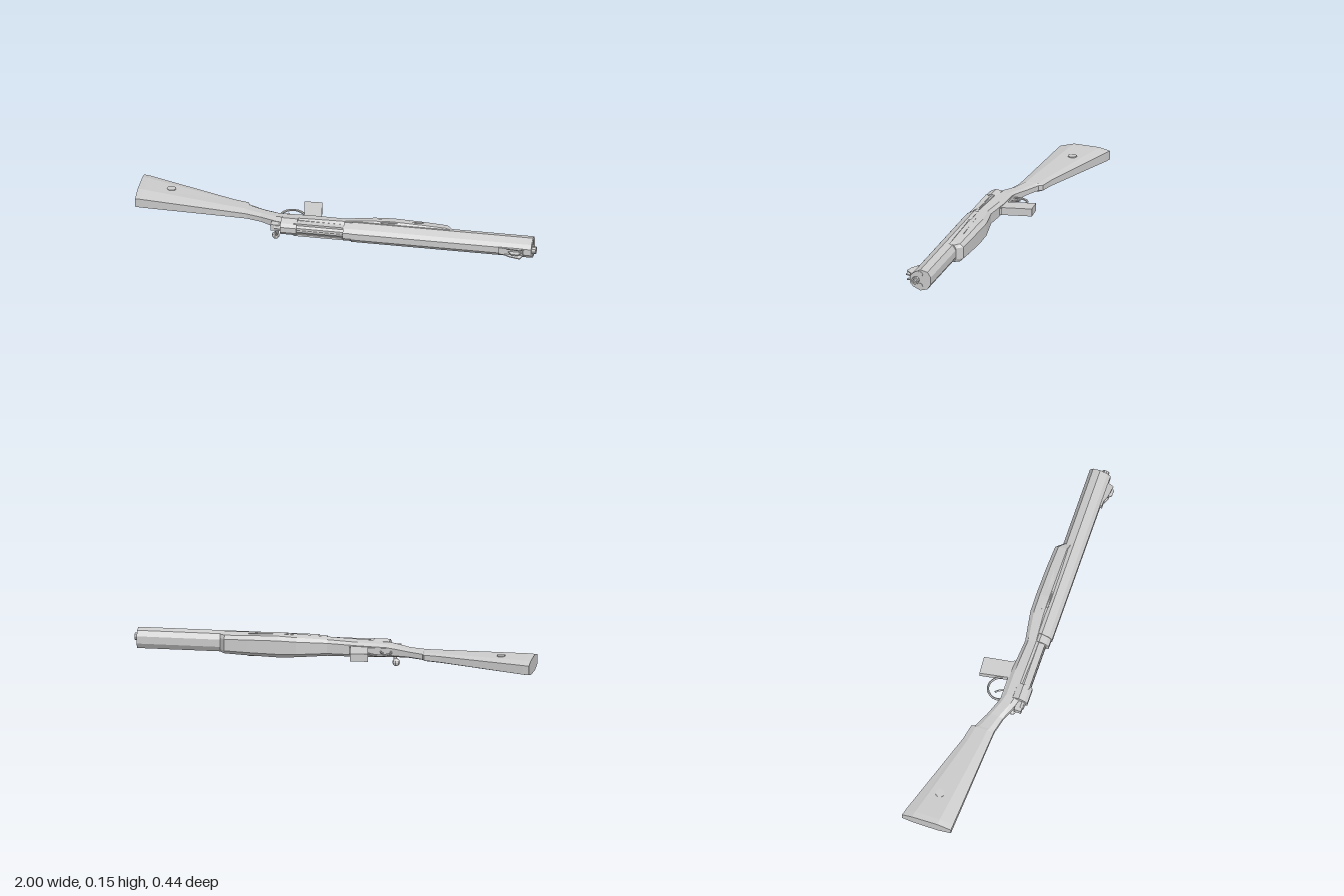
import * as THREE from 'three';

const Y = 0.085; // the centre plane of the piece, which lies on its side
const mat = new THREE.MeshStandardMaterial({ color: 0xcccccc, flatShading: true });

// Convex rings [[y, z], ...] at stations x, joined into a closed flat-shaded skin.
// Rings run from +y towards +z.
function loft(stations) {
  const pos = [], idx = [], n = stations[0].ring.length;
  for (const { x, ring } of stations) for (const [y, z] of ring) pos.push(x, Y + y, z);
  for (let i = 0; i < stations.length - 1; i++) {
    for (let j = 0; j < n; j++) {
      const a = i * n + j, b = i * n + (j + 1) % n;
      idx.push(a, b, a + n, b, b + n, a + n);
    }
  }
  const last = (stations.length - 1) * n;
  for (let j = 1; j < n - 1; j++) idx.push(0, j + 1, j, last, last + j, last + j + 1);
  const g = new THREE.BufferGeometry();
  g.setAttribute('position', new THREE.Float32BufferAttribute(pos, 3));
  g.setIndex(idx);
  const flat = g.toNonIndexed();
  flat.computeVertexNormals();
  return flat;
}

// Mirrors a half profile [[halfWidth, z], ...] listed from low z to high z
const mirrored = (half) => [...half, ...half.slice().reverse().map(([y, z]) => [-y, z])];

// Stock cross-section: narrow belly, wide flank, bevelled top
function stockRing(z0, z1, w) {
  return mirrored([[0.55, 0], [0.87, 0.2], [1, 0.72], [0.55, 1]].map(([a, f]) => [a * w, z0 + f * (z1 - z0)]));
}

export function createModel() {
  const model = new THREE.Group();
  const add = (name, geo, x = 0, y = 0, z = 0, parent = model) => {
    const m = new THREE.Mesh(geo, mat);
    m.name = name;
    m.position.set(x, y, z);
    parent.add(m);
    return m;
  };
  const rod = (r, len, sides) => new THREE.CylinderGeometry(r, r, len, sides).rotateZ(Math.PI / 2);
  // Side outline in x, z extruded across y
  const plate = (pts, width, y = 0) => {
    const s = new THREE.Shape(pts.map(([x, z]) => new THREE.Vector2(x, -z)));
    return new THREE.ExtrudeGeometry(s, { depth: width, bevelEnabled: false })
      .translate(0, 0, -width / 2).rotateX(-Math.PI / 2).scale(1, 1, 1).translate(0, Y + y, 0);
  };

  // Wooden stock, from butt to fore-end: x, low z, high z, half width
  const stock = [
    [-1, -0.22, 0.03, 0.04], [-0.97, -0.212, 0.032, 0.041], [-0.53, -0.066, 0.06, 0.026],
    [-0.455, -0.05, 0.065, 0.024], [-0.445, -0.03, 0.066, 0.023], [-0.37, 0.005, 0.085, 0.023],
    [-0.29, 0.036, 0.12, 0.031], [-0.25, 0.045, 0.132, 0.036], [-0.12, 0.046, 0.135, 0.041],
    [0.04, 0.06, 0.135, 0.046], [0.19, 0.036, 0.13, 0.056], [0.28, 0.035, 0.13, 0.061],
    [0.43, 0.038, 0.13, 0.057], [0.545, 0.044, 0.128, 0.052], [0.57, 0.075, 0.128, 0.05],
  ];
  add('stock', loft(stock.map(([x, a, b, w]) => ({ x, ring: stockRing(a, b, w) }))));

  // Faceted barrel jacket
  const jacket = mirrored([[0.018, 0.075], [0.044, 0.092], [0.053, 0.128], [0.035, 0.165], [0.016, 0.181]]);
  add('barrelJacket', loft([0.09, 0.98].map((x) => ({ x, ring: jacket }))));

  // Collar between jacket and receiver, then the receiver itself
  const scaled = (k) => jacket.map(([y, z]) => [y * k, 0.125 + (z - 0.125) * k]);
  add('collar', loft([0.05, 0.092].map((x) => ({ x, ring: scaled(0.92) }))));
  add('receiver', loft([-0.26, 0.052].map((x) => ({ x, ring: scaled(0.66) }))));
  add('receiverBridge', loft([-0.26, -0.18].map((x) => ({ x, ring: scaled(0.83) }))));
  for (const s of [-1, 1]) {
    add('receiverRail', new THREE.BoxGeometry(0.25, 0.01, 0.025), -0.07, Y + s * 0.029, 0.146);
  }

  // Muzzle and the caps on the jacket end
  const muzzle = new THREE.Group();
  muzzle.name = 'muzzle';
  model.add(muzzle);
  const bore = [[0, -0.012], [0.011, -0.012], [0.011, 0.015], [0.018, 0.015], [0.018, -0.015]];
  add('muzzleTube', new THREE.LatheGeometry(bore.reverse().map((p) => new THREE.Vector2(...p)), 10)
    .rotateZ(-Math.PI / 2), 0.985, Y, 0.15, muzzle);
  for (const s of [-1, 1]) add('endCap', rod(0.015, 0.008, 8), 0.979, Y + s * 0.03, 0.13, muzzle);

  // Front sight: centre blade between two flared wings
  const sight = new THREE.Group();
  sight.name = 'frontSight';
  model.add(sight);
  add('sightBase', new THREE.BoxGeometry(0.12, 0.034, 0.014), 0.88, Y, 0.183, sight);
  add('sightBlade', plate([[0.86, 0.18], [0.89, 0.218], [0.92, 0.218], [0.94, 0.18]], 0.006), 0, 0, 0, sight);
  for (const s of [-1, 1]) {
    const wing = plate([[0.82, 0.18], [0.875, 0.203], [0.93, 0.212], [0.945, 0.18]], 0.005);
    const p = wing.attributes.position;
    for (let i = 0; i < p.count; i++) p.setY(i, p.getY(i) + s * (0.013 + (p.getZ(i) - 0.18) * 0.3));
    add('sightWing', wing, 0, 0, 0, sight);
  }

  // Bolt with cocking piece and turned-down handle
  const bolt = new THREE.Group();
  bolt.name = 'bolt';
  model.add(bolt);
  add('boltBody', rod(0.018, 0.34, 8), -0.12, Y, 0.145, bolt);
  add('cockingPiece', new THREE.BoxGeometry(0.05, 0.032, 0.036), -0.285, Y, 0.138, bolt);
  const path = new THREE.CatmullRomCurve3([[-0.27, Y, 0.14], [-0.28, 0.055, 0.132], [-0.29, 0.02, 0.108]]
    .map((p) => new THREE.Vector3(...p)));
  add('boltHandle', new THREE.TubeGeometry(path, 5, 0.009, 6), 0, 0, 0, bolt);
  add('boltKnob', new THREE.SphereGeometry(0.019, 8, 6), -0.292, 0.019, 0.106, bolt);

  // Slanted magazine
  add('magazine', plate([[-0.187, -0.098], [-0.1, -0.103], [-0.075, 0.06], [-0.16, 0.06]], 0.038));

  // Trigger guard and trigger
  const curve = (pts) => new THREE.CatmullRomCurve3(pts.map(([x, z]) => new THREE.Vector3(x, Y, z)));
  add('triggerGuard', new THREE.TubeGeometry(curve([[-0.275, 0.055], [-0.28, 0.005], [-0.255, -0.03],
    [-0.22, -0.038], [-0.185, -0.02], [-0.165, 0.01], [-0.15, 0.05]]), 14, 0.006, 6));
  add('trigger', new THREE.TubeGeometry(curve([[-0.225, 0.055], [-0.232, 0.025], [-0.25, 0.002]]), 5, 0.005, 5));
  add('guardPlate', new THREE.BoxGeometry(0.2, 0.034, 0.012), -0.17, Y, 0.046);

  // Raised side panels on the fore-end and small discs on the butt
  for (const s of [-1, 1]) {
    add('sidePanel', plate([[0.21, 0.085], [0.43, 0.078], [0.3, 0.11], [0.23, 0.115]], 0.008, s * 0.053));
    add('buttDisc', new THREE.CylinderGeometry(0.022, 0.022, 0.006, 12), -0.84, Y + s * 0.035, -0.08);
  }
  return model;
}
